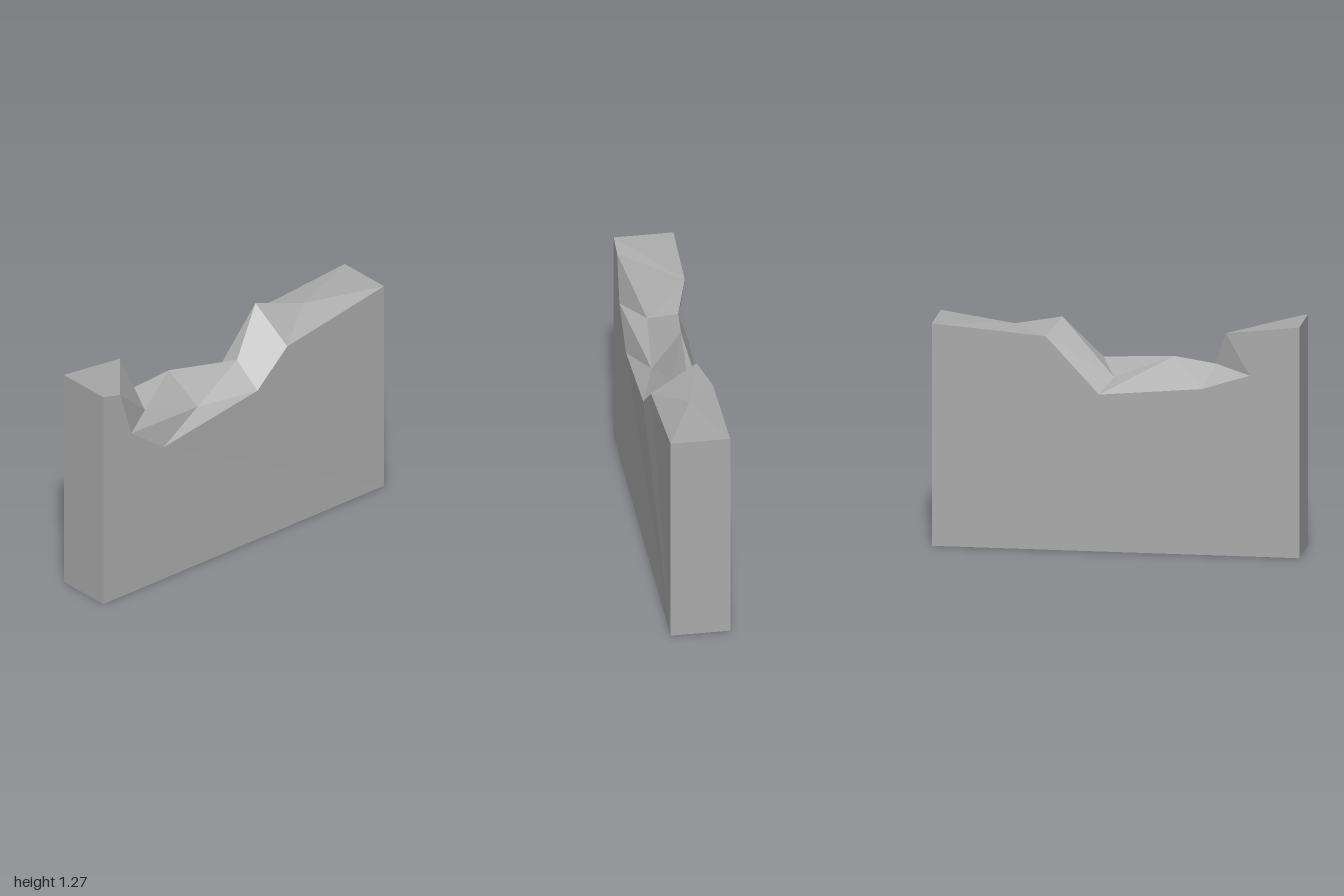
import * as THREE from 'three';

const F = 0.16, K = -0.165; // front and back planes

// Named corners of the broken wall
const P = {
  // base
  BL: [-1, 0, F], BR: [1, 0, F], bl: [-1, 0, K], br: [1, 0, K],
  // broken outline on the front face, from -x to +x
  A: [-1, 1.275, F], B: [-0.88, 1.245, F], C: [-0.8, 0.98, F], E: [-0.57, 0.81, F],
  F: [0.09, 0.92, 0.168], G: [0.31, 1.11, F], H: [1, 1.23, F],
  // broken outline on the back face, from +x to -x
  h: [1, 1.23, K], k: [0.38, 1.18, K], m: [0.09, 0.867, K], n: [-0.47, 0.917, K],
  p: [-0.73, 1.0, K], q: [-0.6, 1.23, K], a: [-1, 1.275, K],
  // ridge and hollows inside the break
  D: [-0.25, 0.905, 0.07], r: [-0.6, 1.0, 0.04], s: [-0.54, 1.05, -0.12],
  t: [-0.31, 1.08, -0.1], u: [0.09, 1.04, 0], v: [0.3, 1.275, -0.09],
  w: [0.57, 1.21, -0.01], x: [0.02, 0.95, -0.09],
};

// Builds a faceted surface from triangles written as corner names
function facets(name, list, material) {
  const pos = list.split(',').flatMap((tri) => tri.trim().split(' ').flatMap((c) => P[c]));
  const geo = new THREE.BufferGeometry();
  geo.setAttribute('position', new THREE.Float32BufferAttribute(pos, 3));
  geo.computeVertexNormals();
  const mesh = new THREE.Mesh(geo, material);
  mesh.name = name;
  return mesh;
}

export function createModel() {
  const group = new THREE.Group();
  group.name = 'brokenWall';
  const stone = new THREE.MeshStandardMaterial({ color: 0xaaaaaa, flatShading: true, side: THREE.DoubleSide });
  stone.name = 'grey stone';

  group.add(
    facets('frontFace', 'BL E C,BL C B,BL B A,BL BR E,BR F E,BR G F,BR H G', stone),
    facets('backFace', 'br k h,br m k,br bl m,bl n m,bl p n,bl a p,p a q', stone),
    facets('leftEnd', 'BR br h,BR h H', stone),
    facets('rightEnd', 'bl BL A,bl A a', stone),
    // The underside stays open
    facets('tallStub', 'A B q,A q a,B C r,B r q,q r s,q s p', stone),
    facets('brokenHollow', 'C E D,E F D,C D r,r D t,r t s,n p s,n s t,n t m,m t x,x t u,D u t,D F u', stone),
    facets('brokenPeak', 'F G u,u G v,G w v,G H w,H h w,h k w,w k v,k x v,k m x,v x u', stone),
  );
  return group;
}
